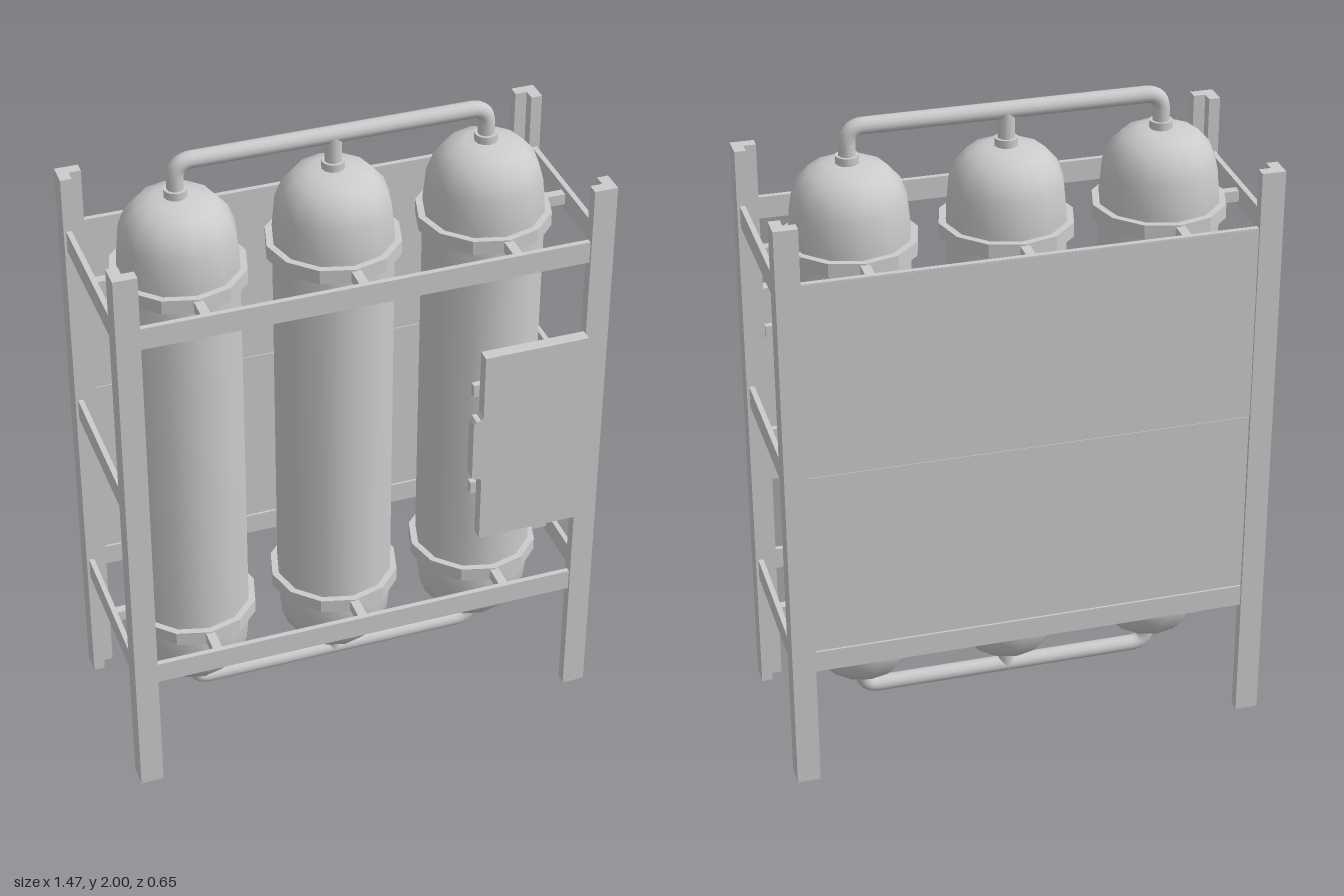
import * as THREE from 'three';

const smooth = new THREE.MeshStandardMaterial({ color: 0xcccccc });
const flat = new THREE.MeshStandardMaterial({ color: 0xcccccc, flatShading: true });

const CZ = -0.015;              // depth centre of frame and tanks
const TANK_X = [-0.465, -0.004, 0.457];
const RAIL_Y = [0.42, 1.625];   // centres of lower and upper rails
const RAIL_H = 0.068;

export function createModel() {
  const group = new THREE.Group();

  const add = (name, geometry, material = flat) => {
    const mesh = new THREE.Mesh(geometry, material);
    mesh.name = name;
    group.add(mesh);
    return mesh;
  };
  // Box given by its minimum and maximum on each axis
  const box = (name, x0, x1, y0, y1, z0, z1) => {
    const mesh = add(name, new THREE.BoxGeometry(x1 - x0, y1 - y0, z1 - z0));
    mesh.position.set((x0 + x1) / 2, (y0 + y1) / 2, (z0 + z1) / 2);
    return mesh;
  };

  // Corner posts: L-shaped angle bars, corner pointing outward
  const W = 0.733, D = 0.31, ARM = 0.07, T = 0.034;
  for (const sx of [-1, 1]) {
    for (const sz of [-1, 1]) {
      const outline = [[0, 0], [ARM, 0], [ARM, T], [T, T], [T, ARM], [0, ARM]]
        .map(([u, v]) => new THREE.Vector2(sx * (W - u), -(CZ + sz * (D - v))));
      const geo = new THREE.ExtrudeGeometry(new THREE.Shape(outline), { depth: 1.83, bevelEnabled: false });
      geo.rotateX(-Math.PI / 2);
      add('cornerPost', geo);
    }
  }

  // Side rails at three heights, front and back rails at two
  const railZ = 0.294, railX = 0.717, half = 0.008;
  for (const y of [RAIL_Y[0], 1.032, RAIL_Y[1]]) {
    for (const s of [-1, 1]) {
      box('sideRail', s * railX - half, s * railX + half, y - RAIL_H / 2, y + RAIL_H / 2, CZ - 0.28, CZ + 0.28);
    }
  }
  for (const y of RAIL_Y) {
    for (const s of [-1, 1]) {
      const z = CZ + s * railZ;
      box(s > 0 ? 'frontRail' : 'backRail', -0.7, 0.7, y - RAIL_H / 2, y + RAIL_H / 2, z - half, z + half);
    }
  }

  // Two back panels with a narrow seam, and the rail behind the seam
  const backZ = CZ - railZ;
  box('lowerBackPanel', -0.7, 0.7, 0.457, 1.045, backZ - 0.006, backZ + 0.005);
  box('upperBackPanel', -0.7, 0.7, 1.05, 1.656, backZ - 0.009, backZ + 0.005);
  box('backMiddleRail', -0.7, 0.7, 1.0, 1.066, backZ - 0.004, backZ + 0.008);

  // Tanks with domed ends
  const dome = [[0, 0], [0.065, 0.003], [0.115, 0.022], [0.15, 0.062], [0.17, 0.115], [0.179, 0.21]];
  const profile = [
    ...dome.map(([r, h]) => new THREE.Vector2(r, 0.172 + h)),
    ...dome.slice().reverse().map(([r, h]) => new THREE.Vector2(r, 1.87 - h)),
  ];
  const tankGeo = new THREE.LatheGeometry(profile, 12);

  // Clamp ring around each tank
  const R = 0.2, ringH = 0.022;
  const ringGeo = new THREE.LatheGeometry(
    [[0.172, -ringH], [R, -ringH], [R, ringH], [0.172, ringH], [0.172, -ringH]]
      .map(([r, y]) => new THREE.Vector2(r, y)), 12);

  TANK_X.forEach((x, i) => {
    add('tank', tankGeo, smooth).position.set(x, 0, CZ);
    add('tankNeck', new THREE.CylinderGeometry(0.034, 0.034, 0.03, 12), smooth)
      .position.set(x, 1.877, CZ);

    for (const y of RAIL_Y) {
      add('clampRing', ringGeo).position.set(x, y, CZ);
      // Brackets from ring to the front and back rails
      for (const s of [-1, 1]) {
        const a = CZ + s * 0.19, b = CZ + s * 0.29;
        box('bracket', x - 0.014, x + 0.014, y - 0.017, y + 0.017, Math.min(a, b), Math.max(a, b));
      }
      // End tanks are also tied to the side rails
      if (i === 0) box('sideBracket', -0.713, x - 0.19, y - 0.017, y + 0.017, CZ - 0.014, CZ + 0.014);
      if (i === 2) box('sideBracket', x + 0.19, 0.713, y - 0.017, y + 0.017, CZ - 0.014, CZ + 0.014);
    }
  });

  // Manifold pipes joining all tanks, above and below
  const manifold = (name, yTank, yPipe) => {
    const [xl, xm, xr] = TANK_X;
    const p = (x, y) => new THREE.Vector3(x, y, CZ);
    const b = 0.05, yb = yPipe - Math.sign(yPipe - yTank) * b;
    const path = new THREE.CurvePath();
    path.add(new THREE.LineCurve3(p(xl, yTank), p(xl, yb)));
    path.add(new THREE.QuadraticBezierCurve3(p(xl, yb), p(xl, yPipe), p(xl + b, yPipe)));
    path.add(new THREE.LineCurve3(p(xl + b, yPipe), p(xr - b, yPipe)));
    path.add(new THREE.QuadraticBezierCurve3(p(xr - b, yPipe), p(xr, yPipe), p(xr, yb)));
    path.add(new THREE.LineCurve3(p(xr, yb), p(xr, yTank)));
    add(name, new THREE.TubeGeometry(path, 100, 0.025, 12), smooth);
    add(name + 'Branch', new THREE.CylinderGeometry(0.025, 0.025, Math.abs(yPipe - yTank), 12), smooth)
      .position.set(xm, (yPipe + yTank) / 2, CZ);
  };
  manifold('topManifold', 1.86, 1.974);
  manifold('bottomManifold', 0.18, 0.095);

  // Control panel plate with a chamfered grip on its inner edge
  const plate = new THREE.Shape([
    [0.66, 0.70], [0.66, 1.355], [0.34, 1.355], [0.34, 1.147], [0.333, 1.137], [0.318, 1.137], [0.31, 1.125],
    [0.31, 0.935], [0.318, 0.925], [0.333, 0.925], [0.34, 0.915], [0.34, 0.70],
  ].map(([x, y]) => new THREE.Vector2(x, y)));
  const plateGeo = new THREE.ExtrudeGeometry(plate, { depth: 0.038, bevelEnabled: false });
  add('controlPanel', plateGeo).position.z = 0.287;
  // Small latches behind the panel
  for (const y of [0.865, 1.218]) box('panelLatch', 0.322, 0.66, y - 0.02, y + 0.02, 0.267, 0.287);

  return group;
}
